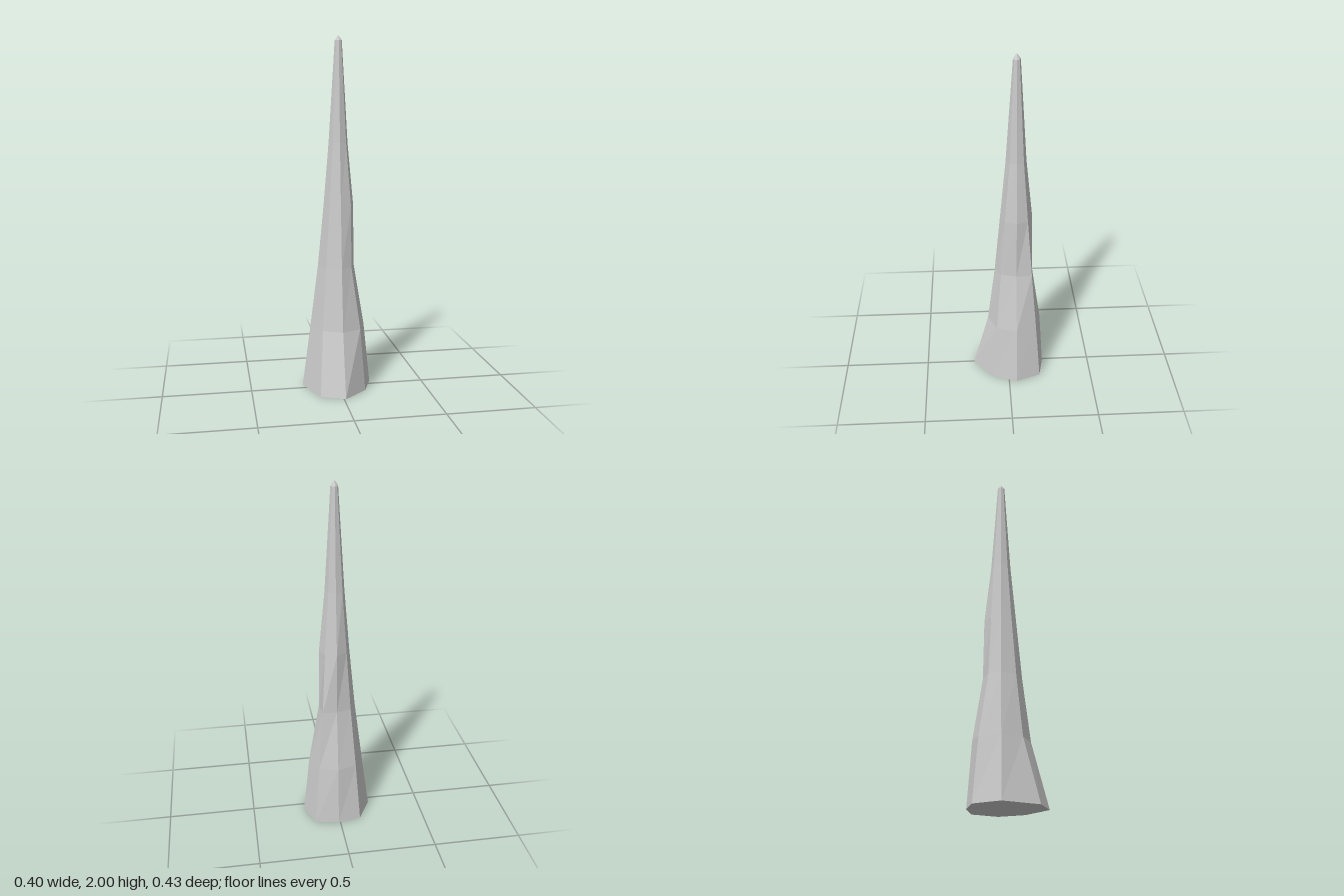
import * as THREE from 'three';

// Irregular eight-sided cross-sections: height, then [x, z] corners
// running from left (+x) through front (+z), right (-x) and back (-z).
const AXIS = [0.01, -0.045];
const RINGS = [
  [0, [0.197, -0.045], [0.143, 0.097], [0.01, 0.212], [-0.123, 0.155], [-0.2, -0.045], [-0.123, -0.188], [0.01, -0.215], [0.143, -0.188]],
  [0.355, [0.16, -0.045], [0.118, 0.07], [0.01, 0.12], [-0.098, 0.07], [-0.153, -0.045], [-0.098, -0.16], [0.01, -0.192], [0.118, -0.162]],
  [0.71, [0.1, -0.045], [0.071, 0.043], [0.01, 0.076], [-0.073, 0.038], [-0.108, -0.045], [-0.073, -0.112], [0.01, -0.14], [0.09, -0.134]],
  [1.06, [0.096, -0.045], [0.071, 0.02], [0.01, 0.044], [-0.049, 0.014], [-0.074, -0.045], [-0.05, -0.1], [0.01, -0.136], [0.072, -0.108]],
  [1.41, [0.063, -0.045], [0.048, -0.007], [0.01, 0.012], [-0.028, -0.007], [-0.045, -0.045], [-0.028, -0.086], [0.01, -0.1], [0.049, -0.084]],
  [1.97, [0.03, -0.045], [0.024, -0.031], [0.01, -0.025], [-0.004, -0.031], [-0.01, -0.045], [-0.004, -0.059], [0.01, -0.065], [0.024, -0.059]],
];

// Skin the cross-sections, closing the base and drawing the top to a point
function loftSpike(rings, tipY) {
  const sides = rings[0].length - 1;
  const positions = [];
  const index = [];
  for (const [y, ...corners] of rings) {
    for (const [x, z] of corners) positions.push(x, y, z);
  }
  const base = rings.length * sides;
  const tip = base + 1;
  positions.push(AXIS[0], 0, AXIS[1], AXIS[0], tipY, AXIS[1]);

  for (let i = 0; i < sides; i++) {
    const j = (i + 1) % sides;
    for (let r = 0; r < rings.length - 1; r++) {
      const low = r * sides;
      const high = low + sides;
      index.push(low + i, high + i, low + j, high + i, high + j, low + j);
    }
    const last = (rings.length - 1) * sides;
    index.push(last + i, tip, last + j);
    index.push(base, i, j);
  }

  const indexed = new THREE.BufferGeometry();
  indexed.setAttribute('position', new THREE.Float32BufferAttribute(positions, 3));
  indexed.setIndex(index);
  const geometry = indexed.toNonIndexed();
  geometry.computeVertexNormals();
  return geometry;
}

export function createModel() {
  const group = new THREE.Group();
  group.name = 'stoneSpike';

  // Tapering faceted shaft with its small pointed cap
  const material = new THREE.MeshStandardMaterial({ color: 0xcccccc, flatShading: true });
  const spike = new THREE.Mesh(loftSpike(RINGS, 2), material);
  spike.name = 'spike';
  group.add(spike);

  return group;
}
